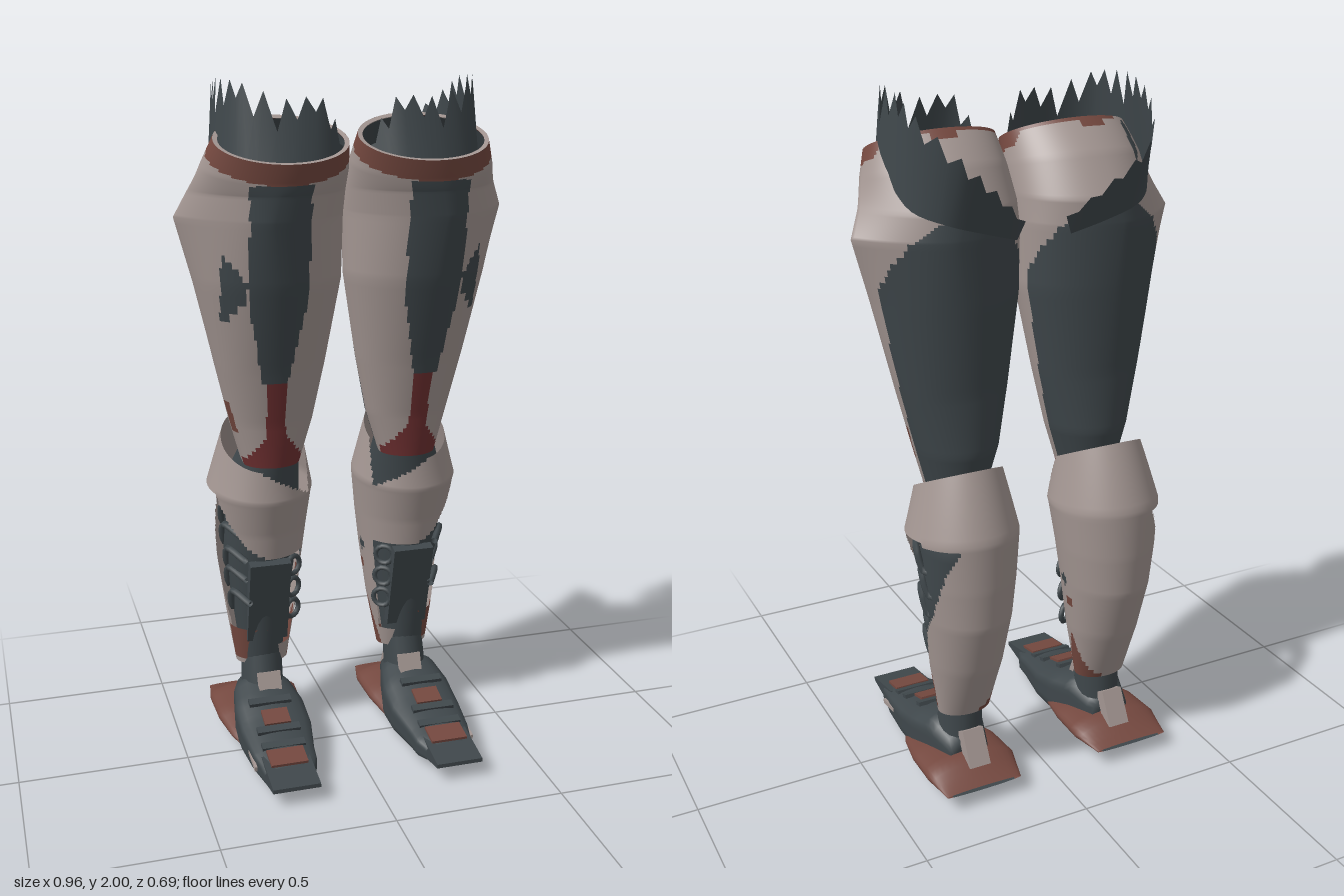
import * as THREE from 'three';

const mat = (name, color) => {
  const m = new THREE.MeshStandardMaterial({ color, side: THREE.DoubleSide });
  m.name = name;
  return m;
};
const lerp = THREE.MathUtils.lerp;

// Skin over rings [y, xInner, xOuter, zFront, zBack, zMid, tilt, point], bottom to top.
// point > 0 sharpens the outer side, point < 0 squares both sides.
// paint(x, y, z, sin) gives a material index, or -1 to leave a hole.
function loft(name, rings, mats, { sub = 4, cols = 40, paint = () => 0 } = {}) {
  const pos = [], faces = mats.map(() => []);
  const rows = (rings.length - 1) * sub;
  for (let i = 0; i <= rows; i++) {
    const k = Math.min(Math.floor(i / sub), rings.length - 2), t = i / sub - k;
    const get = (n) => lerp(rings[k][n] ?? 0, rings[k + 1][n] ?? 0, t);
    const [y, xi, xo, zf, zb] = [0, 1, 2, 3, 4].map(get);
    const zc = rings[k][5] === undefined ? (zf + zb) / 2 : get(5);
    const tilt = get(6), point = get(7), cx = (xi + xo) / 2;
    for (let j = 0; j < cols; j++) {
      const a = (j / cols) * Math.PI * 2, c = Math.cos(a), s = Math.sin(a);
      let w = Math.abs(c);
      if (c > 0 || point < 0) w = Math.min(1, lerp(w, 1 - Math.abs(s), point));
      const x = cx + Math.sign(c) * w * (xo - xi) / 2;
      const z = zc + s * (s > 0 ? zf - zc : zc - zb);
      pos.push(x, y + tilt * (z - zc), z);
    }
  }
  for (let i = 0; i < rows; i++) for (let j = 0; j < cols; j++) {
    const a = i * cols + j, b = i * cols + (j + 1) % cols, c = a + cols, d = b + cols;
    const mid = [0, 1, 2].map((n) => (pos[a * 3 + n] + pos[b * 3 + n] + pos[c * 3 + n] + pos[d * 3 + n]) / 4);
    const m = paint(...mid, Math.sin(((j + 0.5) / cols) * Math.PI * 2));
    if (m >= 0) faces[m].push(a, c, b, b, c, d);
  }
  const g = new THREE.BufferGeometry();
  g.setAttribute('position', new THREE.Float32BufferAttribute(pos, 3));
  g.setIndex(faces.flat());
  let start = 0;
  faces.forEach((f, n) => { g.addGroup(start, f.length, n); start += f.length; });
  g.computeVertexNormals();
  const mesh = new THREE.Mesh(g, mats);
  mesh.name = name;
  return mesh;
}

// Same skin laid along z: rings [z, xInner, xOuter, yBottom, yTop], with squared sides
function loftZ(name, rings, mats, point, opt) {
  const m = loft(name, rings.map(([z, xi, xo, yb, yt]) => [z, xi, xo, -yb, -yt, -(yb + yt) / 2, 0, point]), mats, opt);
  m.rotation.x = Math.PI / 2;
  return m;
}

function box(name, size, at, material, tilt = 0) {
  const m = new THREE.Mesh(new THREE.BoxGeometry(...size), material);
  m.name = name;
  m.position.set(...at);
  m.rotation.x = tilt;
  return m;
}

// Torn collar: a strip between a base curve and a zigzag top curve
function collar(material) {
  const base = [[0.035, 1.8, 0.1], [0.1, 1.77, 0.155], [0.2, 1.755, 0.172], [0.31, 1.77, 0.13], [0.37, 1.8, 0.04], [0.375, 1.77, -0.07],
    [0.35, 1.71, -0.15], [0.28, 1.68, -0.215], [0.18, 1.65, -0.225], [0.08, 1.62, -0.21]];
  const top = [[0.035, 1.82, 0.095], [0.1, 1.95, 0.125], [0.2, 1.95, 0.13], [0.31, 1.99, 0.1], [0.352, 2.0, 0.03], [0.352, 1.995, -0.07],
    [0.34, 1.95, -0.17], [0.27, 1.86, -0.285], [0.17, 1.77, -0.275], [0.06, 1.67, -0.22]];
  const curve = (p) => new THREE.CatmullRomCurve3(p.map((q) => new THREE.Vector3(...q)));
  const cb = curve(base), ct = curve(top), n = 36, pos = [], idx = [];
  for (let i = 0; i <= n; i++) {
    const b = cb.getPoint(i / n), t = ct.getPoint(i / n);
    if (i % 2) t.lerp(b, i < 22 ? 0.33 + 0.13 * Math.sin(i * 2.3) : 0.2);
    t.y = Math.min(t.y, 2);
    pos.push(...b, ...t);
    if (i) idx.push(2 * i - 2, 2 * i, 2 * i - 1, 2 * i, 2 * i + 1, 2 * i - 1);
  }
  const g = new THREE.BufferGeometry();
  g.setAttribute('position', new THREE.Float32BufferAttribute(pos, 3));
  g.setIndex(idx);
  g.computeVertexNormals();
  const m = new THREE.Mesh(g, material);
  m.name = 'tornCollar';
  return m;
}

function buildLeg(pale, dark, rust, red) {
  const leg = new THREE.Group();

  // Thigh armour, open at the top with a tilted rim
  const rim = [1.84, 0.015, 0.385, 0.19, -0.055, 0.07, -0.45];
  const thigh = [
    [0.9, 0.125, 0.295, 0.0, -0.18, -0.08], [1.03, 0.085, 0.33, 0.02, -0.205, -0.08],
    [1.2, 0.05, 0.37, 0.06, -0.2, -0.07], [1.45, 0.008, 0.43, 0.13, -0.21, -0.05, 0, 0.2],
    [1.63, 0.004, 0.478, 0.165, -0.215, -0.05, 0, 0.5], [1.7, 0.004, 0.445, 0.172, -0.21, -0.02, 0, 0.35],
    [1.77, 0.006, 0.415, 0.178, -0.14, 0.03, -0.25, 0.1], rim];
  const thighPaint = (x, y, z, s) => {
    const edge = 1.84 - 0.45 * (z - 0.07), front = s > 0.2;
    if (z > 0 && y > edge - 0.045 - 0.1 * z) return 2;
    if (z < 0 && x < 0.3 && y > edge - (Math.abs(x - 0.22) < 0.035 ? 0.03 : 0.014)) return 2;
    if (x > 0.33 && z < -0.02 && y > 1.7 + (z + 0.2) * 0.85) return 1;
    if (front && y < 1.0 && Math.abs(x - 0.21) < 0.028 + (1.0 - y) * 0.75) return 3;
    if (front && y < 1.17 && Math.abs(x - 0.215) < 0.028) return 3;
    if (x > 0.23 && y > 1.0 && y < 1.09 && z < -0.04 && z > -0.075) return 2;
    const half = Math.min(0.084, lerp(0.036, 0.084, (y - 1.17) / 0.25));
    if (front && y > 1.17 && y < 1.73 && Math.abs(x - 0.222) < half) return 1;
    if (front && x > 0.308 && x < 0.372 && Math.abs(y - 1.44) < 0.025 + (x - 0.308) * 1.2) return 1;
    if (y < 1.7 && z < -0.09 - Math.max(0, y - 1.5) * 0.6) return 1;
    return 0;
  };
  leg.add(loft('thigh', thigh, [pale, dark, rust, red], { sub: 10, cols: 128, paint: thighPaint }));

  // Inside of the thigh: lip, lining and floor
  leg.add(loft('rimLip', [rim, [1.838, 0.028, 0.372, 0.178, -0.043, 0.07, -0.45]], [pale], { sub: 1, cols: 64 }));
  const lining = thigh.slice(3).map(([y, xi, xo, zf, zb, ...r]) => [y - 0.004, xi + 0.012, xo - 0.012, zf - 0.012, zb + 0.012, ...r]);
  leg.add(loft('thighLining', lining, [pale, dark], { paint: (x, y, z) => (y > 1.68 || z < -0.03 ? 1 : 0) }));
  leg.add(box('thighFloor', [0.22, 0.01, 0.09], [0.225, 1.3, -0.01], dark));
  leg.add(collar(dark));

  // Dark knee and inner shin, closed at the top
  leg.add(loft('innerShin', [
    [0.2, 0.175, 0.29, -0.1, -0.21], [0.4, 0.15, 0.315, -0.075, -0.24], [0.6, 0.12, 0.34, -0.05, -0.27],
    [0.8, 0.11, 0.345, -0.03, -0.29], [0.93, 0.12, 0.3, -0.015, -0.195], [0.98, 0.12, 0.3, -0.02, -0.19],
    [0.98, 0.21, 0.21, -0.1, -0.1]], [dark]));

  // Calf armour with the outer gap, open front and slanted knee opening
  const gapBack = (y) => (y > 0.6 ? lerp(-0.24, -0.315, (y - 0.6) / 0.2) : y > 0.5 ? lerp(-0.18, -0.24, (y - 0.5) / 0.1)
    : lerp(-0.12, -0.18, (y - 0.25) / 0.25));
  const spot = (y, z, cy, cz) => Math.hypot(y - cy, z - cz) < 0.018;
  const calfPaint = (x, y, z, s) => {
    const outer = x > 0.23;
    if (s > 0.2 && x > 0.1 && y > 0.93 - (0.34 - x) * 0.55) return -1;
    if (outer && y < 0.36 && y > 0.25 && z > -0.165) return 1;
    if (!outer && y < 0.38 && Math.abs(z + 0.18) < (0.4 - y) * 0.25) return 1;
    if (!outer && s < 0.6 && spot(y, z, 0.57, -0.17)) return 2;
    if (!outer && s < 0.6 && spot(y, z, 0.5, -0.19)) return 1;
    if (y < 0.29) return 0;
    if (outer && y < 0.81 - 0.3 * Math.max(0, z + 0.14) && z > gapBack(y) && (z < -0.1 + (0.8 - y) * 0.35 || y < 0.6)) return -1;
    if (!outer && y < 0.6 && z > -0.1 - (0.6 - y) * 0.12 && s > 0.15) return -1;
    return 0;
  };
  leg.add(loft('calfArmour', [
    [0.23, 0.15, 0.31, -0.11, -0.22], [0.4, 0.12, 0.335, -0.07, -0.285], [0.56, 0.1, 0.355, -0.04, -0.33],
    [0.68, 0.085, 0.37, -0.02, -0.338], [0.81, 0.07, 0.385, 0.01, -0.34, -0.16, -0.1],
    [0.95, 0.1, 0.345, 0.0, -0.265, -0.13, -0.5]], [pale, rust, dark], { sub: 11, cols: 112, paint: calfPaint }));
  leg.add(box('shinPlate', [0.125, 0.28, 0.03], [0.225, 0.455, -0.077], dark, 0.25));

  // Cables in the gap and beside the shin plate
  for (let i = 0; i < 5; i++) {
    const y = 0.74 - i * 0.07, z = -0.09 - (i % 2) * 0.02, x = 0.34 - i * 0.006;
    const path = new THREE.CatmullRomCurve3([[x - 0.03, y, z + 0.04], [x + 0.01, y + 0.02, z - 0.03],
      [x, y - 0.05, z - 0.07], [x - 0.04, y - 0.03, z - 0.11]].map((p) => new THREE.Vector3(...p)));
    const cable = new THREE.Mesh(new THREE.TubeGeometry(path, 14, 0.011, 6), dark);
    cable.name = 'outerCable';
    leg.add(cable);
  }
  for (let i = 0; i < 3; i++) {
    const loop = new THREE.Mesh(new THREE.TorusGeometry(0.028, 0.008, 6, 14), dark);
    loop.name = 'innerCableLoop';
    loop.position.set(0.145, 0.56 - i * 0.075, -0.08 - i * 0.01);
    loop.rotation.y = -0.6;
    leg.add(loop);
  }

  // Ankle
  leg.add(loft('ankle', [[0.05, 0.165, 0.31, -0.03, -0.22], [0.15, 0.17, 0.3, -0.06, -0.22],
    [0.3, 0.17, 0.29, -0.1, -0.22]], [dark], { cols: 20 }));
  leg.add(box('ankleTongue', [0.07, 0.085, 0.02], [0.228, 0.175, -0.062], pale, -0.4));
  leg.add(box('heelStrut', [0.065, 0.11, 0.04], [0.235, 0.13, -0.245], pale, 0.5));

  // Foot: dark wedge, flat at the toes
  leg.add(loftZ('foot', [[-0.22, 0.24, 0.24, 0.04, 0.04], [-0.22, 0.18, 0.3, 0.02, 0.15], [-0.12, 0.15, 0.33, 0.008, 0.19],
    [-0.03, 0.13, 0.345, 0.004, 0.165], [0.06, 0.13, 0.345, 0.006, 0.133], [0.17, 0.15, 0.335, 0.01, 0.105],
    [0.22, 0.155, 0.325, 0.012, 0.092], [0.26, 0.172, 0.32, 0.02, 0.08]], [dark], -0.4, { cols: 28 }));
  const toe = new THREE.Shape([[0.2, 0.02], [0.345, 0.05], [0.345, 0.062], [0.2, 0.088]].map((p) => new THREE.Vector2(...p)));
  const toeMesh = new THREE.Mesh(new THREE.ExtrudeGeometry(toe, { depth: 0.14, bevelEnabled: false }), dark);
  toeMesh.name = 'toe';
  toeMesh.rotation.y = -Math.PI / 2;
  toeMesh.position.x = 0.316;
  leg.add(toeMesh);
  leg.add(box('toePlate', [0.11, 0.008, 0.07], [0.245, 0.092, 0.225], rust, 0.18));
  leg.add(box('instepPlate', [0.08, 0.008, 0.06], [0.24, 0.137, 0.065], rust, 0.3));
  leg.add(box('sideStripe', [0.008, 0.014, 0.09], [0.335, 0.062, 0.165], pale, 0.15));
  for (const z of [0.0, 0.11, 0.17]) {
    leg.add(box('footStrap', [0.13, 0.012, 0.025], [0.243, 0.157 - z * 0.33, z], dark, 0.3));
  }

  // Wide heel guard with a dark sole
  leg.add(loftZ('heelGuard', [[-0.34, 0.13, 0.365, 0.05, 0.062], [-0.24, 0.105, 0.383, 0.022, 0.11],
    [-0.12, 0.11, 0.38, 0.02, 0.1], [-0.02, 0.13, 0.36, 0.02, 0.075], [0.04, 0.15, 0.335, 0.02, 0.055]],
    [rust, dark], 0, { cols: 32, paint: (x, y, z, s) => (s > 0.35 && Math.abs(x - 0.245) < 0.095 ? 1 : 0) }));
  return leg;
}

export function createModel() {
  const model = new THREE.Group();
  model.name = 'armouredLegs';
  const mats = [mat('paleArmour', 0xa39692), mat('darkUnderlayer', 0x3f474b), mat('rustTrim', 0x74483f), mat('deepRed', 0x6f3031)];
  for (const side of [1, -1]) {
    const leg = buildLeg(...mats);
    leg.name = side > 0 ? 'leftLeg' : 'rightLeg';
    leg.scale.x = side;
    model.add(leg);
  }
  return model;
}
